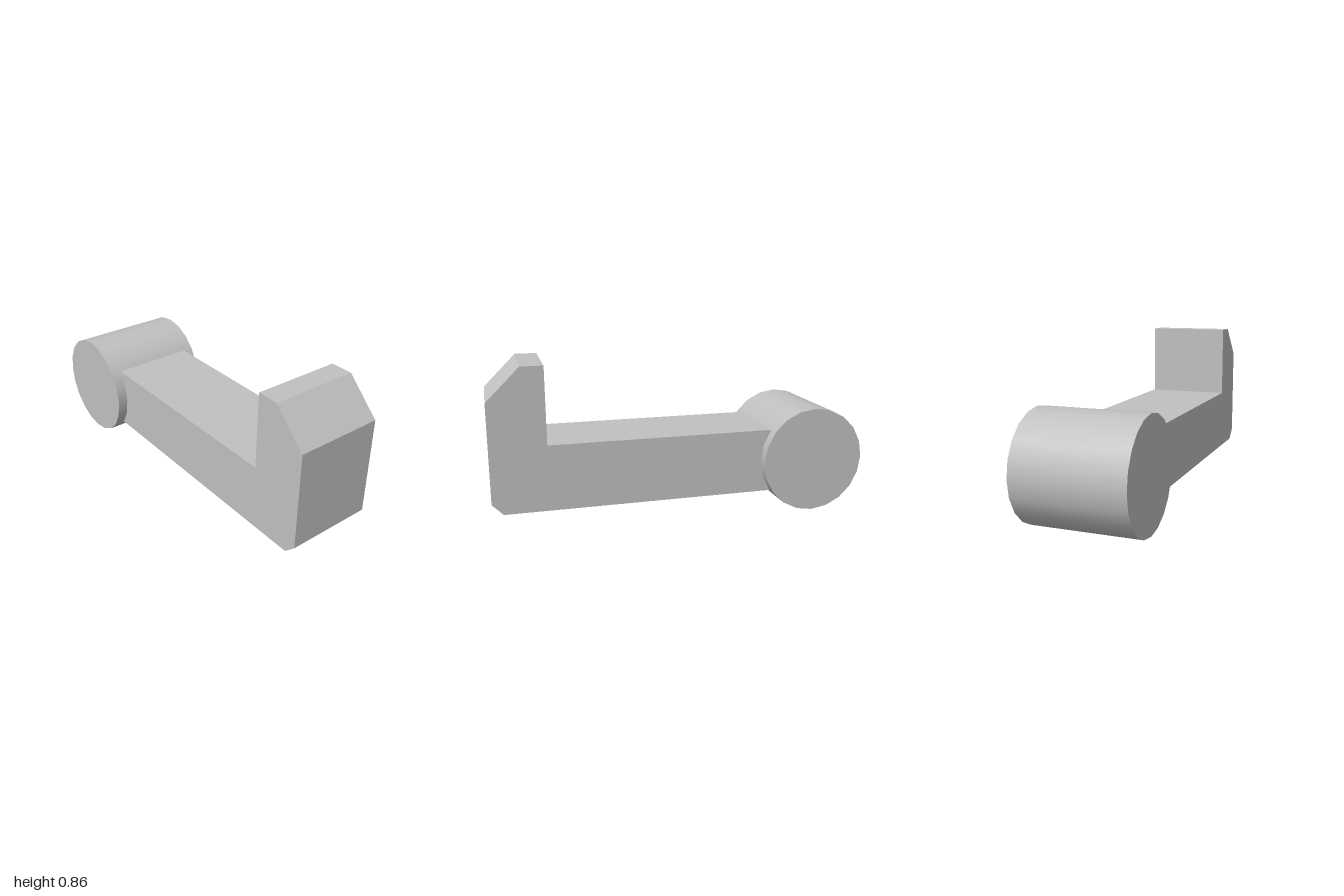
import * as THREE from 'three';

export function createModel() {
  const model = new THREE.Group();
  const grey = new THREE.MeshStandardMaterial({ color: 0xc0c0c0 });
  grey.name = 'grey';

  // Round pivot barrel lying along z
  const radius = 0.286;
  const barrel = new THREE.Mesh(new THREE.CylinderGeometry(radius, radius, 0.572, 20), grey);
  barrel.name = 'pivotBarrel';
  barrel.rotation.x = Math.PI / 2;
  barrel.position.set(-0.714, radius, 0);
  model.add(barrel);

  // Arm with an upright chamfered end, starting inside the barrel
  const profile = new THREE.Shape([
    [-0.714, 0.114], [0.943, 0.114], [1, 0.171], [1, 0.686],
    [0.829, 0.857], [0.714, 0.857], [0.714, 0.457], [-0.714, 0.457],
  ].map(([x, y]) => new THREE.Vector2(x, y)));
  const width = 0.457;
  const armGeometry = new THREE.ExtrudeGeometry(profile, { depth: width, bevelEnabled: false });
  armGeometry.translate(0, 0, -width / 2);
  const arm = new THREE.Mesh(armGeometry, grey);
  arm.name = 'leverArm';
  model.add(arm);

  return model;
}
